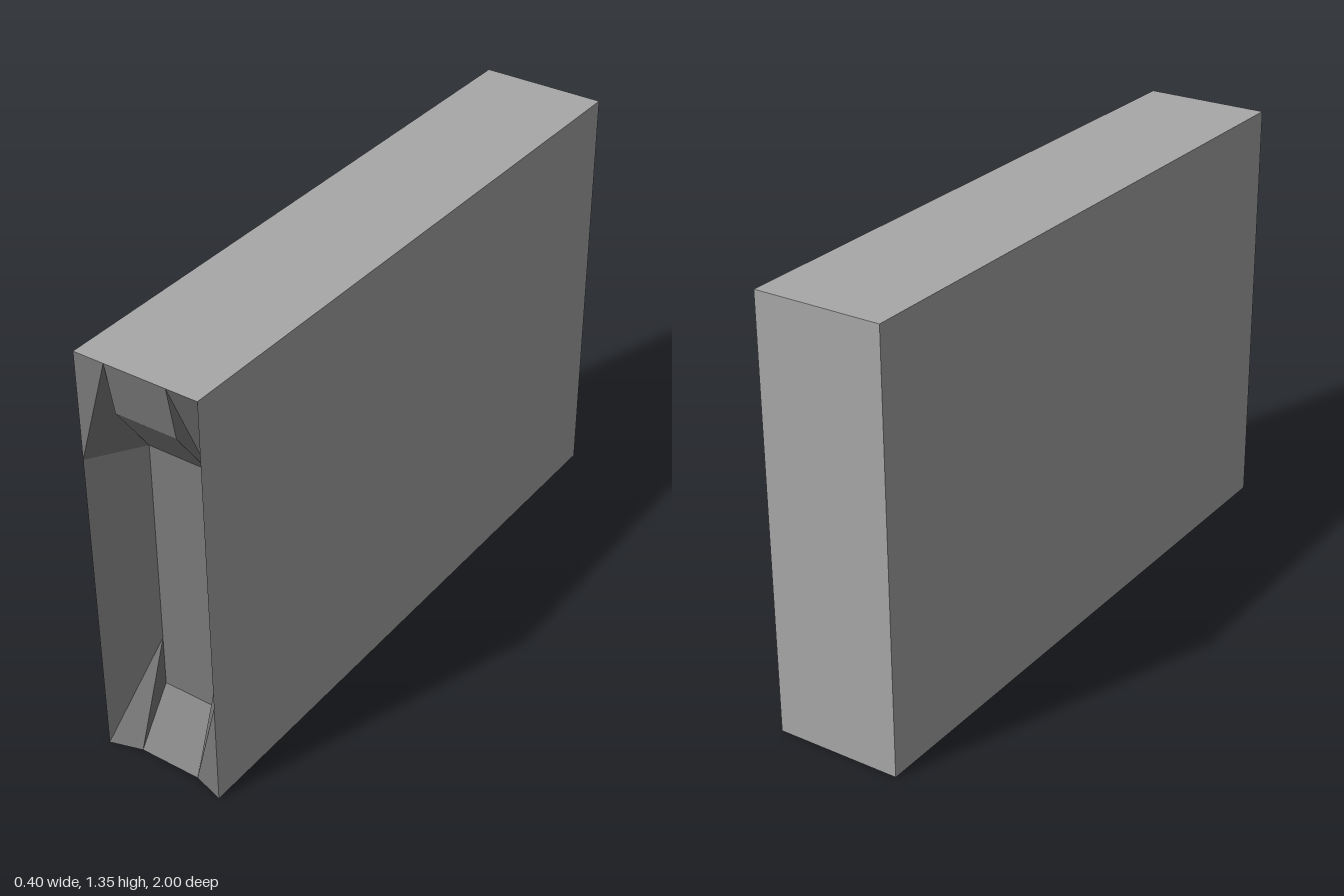
import * as THREE from 'three';

// Flat mesh from planar convex polygons, each a counter-clockwise list of [x, y, z]
function polygons(name, faces, material) {
  const pos = [];
  for (const f of faces)
    for (let i = 1; i < f.length - 1; i++) pos.push(...f[0], ...f[i], ...f[i + 1]);
  const geo = new THREE.BufferGeometry();
  geo.setAttribute('position', new THREE.Float32BufferAttribute(pos, 3));
  geo.computeVertexNormals();
  const mesh = new THREE.Mesh(geo, material);
  mesh.name = name;
  return mesh;
}

export function createModel() {
  const group = new THREE.Group();
  group.name = 'recessedBlock';

  const body = new THREE.MeshStandardMaterial({ color: 0xa8a8a8 });
  body.name = 'light grey';
  const front = new THREE.MeshStandardMaterial({ color: 0x7a7a7a, side: THREE.DoubleSide });
  front.name = 'dark grey';

  const W = 0.2, I = 0.1, H = 1.35, D = 1;

  // Height and depth of the recess, down its middle and along the side bevels
  const middle = [[0, 0.03], [0.17, 0.15], [1.01, 0.15], [1.18, 0.03], [H, 0]];
  const bevel = [[0, 0.03], [0.34, 0.15], [1.01, 0.15], [H, 0]];
  const at = (x, [y, d]) => [x, y, D - d];

  // Block walls
  group.add(polygons('blockSides', [
    [[W, 0, D], [W, 0, -D], [W, H, -D], [W, H, D]],
    [[-W, 0, -D], [-W, 0, D], [-W, H, D], [-W, H, -D]],
  ], body));
  group.add(polygons('blockBack', [[[W, 0, -D], [-W, 0, -D], [-W, H, -D], [W, H, -D]]], body));
  group.add(polygons('blockTop', [[[-W, H, D], [W, H, D], [W, H, -D], [-W, H, -D]]], body));

  // Underside, notched where the recess runs out
  const n = D - 0.03;
  group.add(polygons('blockBottom', [
    [[-W, 0, -D], [-I, 0, -D], [-I, 0, n], [-W, 0, D]],
    [[-I, 0, -D], [I, 0, -D], [I, 0, n], [-I, 0, n]],
    [[I, 0, -D], [W, 0, -D], [W, 0, D], [I, 0, n]],
  ], body));

  // Middle of the recess: lower ramp, back panel, overhang and lintel
  ['lowerRamp', 'backPanel', 'overhang', 'lintel'].forEach((name, i) => {
    const a = middle[i], b = middle[i + 1];
    group.add(polygons(name, [[at(-I, a), at(I, a), at(I, b), at(-I, b)]], front));
  });

  // Bevelled jambs and the small cheeks closing the gaps beside the ramps
  for (const s of [-1, 1]) {
    const faces = [];
    const add = (...f) => faces.push(s > 0 ? f : f.reverse());
    for (let i = 0; i < bevel.length - 1; i++) {
      const a = bevel[i], b = bevel[i + 1];
      add(at(s * I, a), at(s * W, [a[0], 0]), at(s * W, [b[0], 0]), at(s * I, b));
    }
    add(at(s * I, middle[0]), at(s * I, bevel[1]), at(s * I, middle[1]));
    add(at(s * I, middle[2]), at(s * I, middle[4]), at(s * I, middle[3]));
    group.add(polygons(s > 0 ? 'leftJamb' : 'rightJamb', faces, front));
  }
  return group;
}
